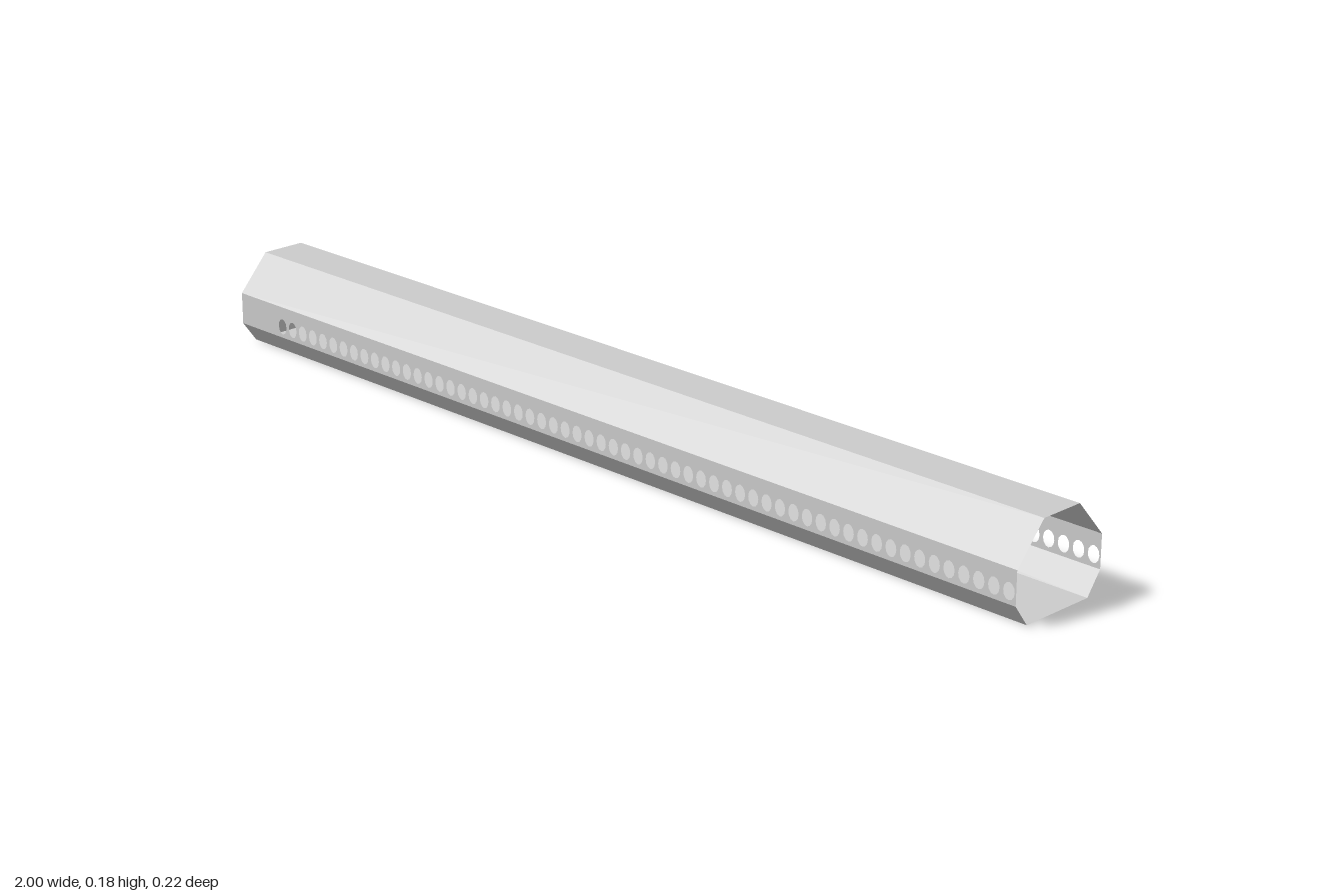
import * as THREE from 'three';

const HALF = 1; // half length along x
// Half cross-section as [z, y], from the top edge down to the bottom edge
const PROFILE = [[0.046, 0.178], [0.11, 0.106], [0.11, 0.042], [0.079, 0]];
const HOLES = { count: 60, first: -0.872, last: 0.985, y: 0.065, rx: 0.012, ry: 0.016 };

const material = new THREE.MeshStandardMaterial({
  color: 0xcccccc, flatShading: true, side: THREE.DoubleSide,
});

function addMesh(parent, name, geometry) {
  const mesh = new THREE.Mesh(geometry, material);
  mesh.name = name;
  parent.add(mesh);
  return mesh;
}

// Flat panel along x between two cross-section points, facing outwards
function panel([z0, y0], [z1, y1]) {
  const geometry = new THREE.PlaneGeometry(2 * HALF, 1);
  const p = geometry.attributes.position;
  for (let i = 0; i < p.count; i++) {
    const upper = p.getY(i) > 0;
    p.setXYZ(i, p.getX(i), upper ? y0 : y1, upper ? z0 : z1);
  }
  geometry.computeVertexNormals();
  return geometry;
}

// Upright side wall with its row of oval holes
function perforatedWall(side) {
  const [[z, top], [, bottom]] = PROFILE.slice(1, 3);
  const shape = new THREE.Shape([
    new THREE.Vector2(-HALF, bottom), new THREE.Vector2(HALF, bottom),
    new THREE.Vector2(HALF, top), new THREE.Vector2(-HALF, top),
  ]);
  const { count, first, last, y, rx, ry } = HOLES;
  for (let i = 0; i < count; i++) {
    const x = first + (last - first) * i / (count - 1);
    const points = [];
    for (let k = 0; k < 12; k++) {
      const a = -k * Math.PI / 6;
      points.push(new THREE.Vector2(x + rx * Math.cos(a), y + ry * Math.sin(a)));
    }
    shape.holes.push(new THREE.Path(points));
  }
  const geometry = new THREE.ShapeGeometry(shape);
  if (side < 0) {
    // Mirror to the back and flip the winding so it faces outwards
    geometry.scale(1, 1, -1);
    const index = geometry.index;
    for (let i = 0; i < index.count; i += 3) {
      const a = index.getX(i);
      index.setX(i, index.getX(i + 2));
      index.setX(i + 2, a);
    }
  }
  geometry.translate(0, 0, side * z);
  geometry.computeVertexNormals();
  return geometry;
}

export function createModel() {
  const group = new THREE.Group();
  group.name = 'perforatedTube';
  const mirror = ([z, y]) => [-z, y];
  const [topEdge, shoulder, hip, bottomEdge] = PROFILE;

  // Top and bottom panels
  addMesh(group, 'topPanel', panel(mirror(topEdge), topEdge));
  addMesh(group, 'bottomPanel', panel(bottomEdge, mirror(bottomEdge)));

  // Sloping panels and perforated walls, front and back
  addMesh(group, 'frontUpperSlope', panel(topEdge, shoulder));
  addMesh(group, 'frontLowerSlope', panel(hip, bottomEdge));
  addMesh(group, 'backUpperSlope', panel(mirror(shoulder), mirror(topEdge)));
  addMesh(group, 'backLowerSlope', panel(mirror(bottomEdge), mirror(hip)));
  addMesh(group, 'frontPerforatedWall', perforatedWall(1));
  addMesh(group, 'backPerforatedWall', perforatedWall(-1));

  // Closed end at -x; the +x end stays open
  const outline = [...PROFILE, ...PROFILE.map(mirror).reverse()];
  const cap = new THREE.ShapeGeometry(
    new THREE.Shape(outline.map(([z, y]) => new THREE.Vector2(z, y))));
  cap.rotateY(-Math.PI / 2).translate(-HALF, 0, 0);
  addMesh(group, 'endCap', cap);

  return group;
}
